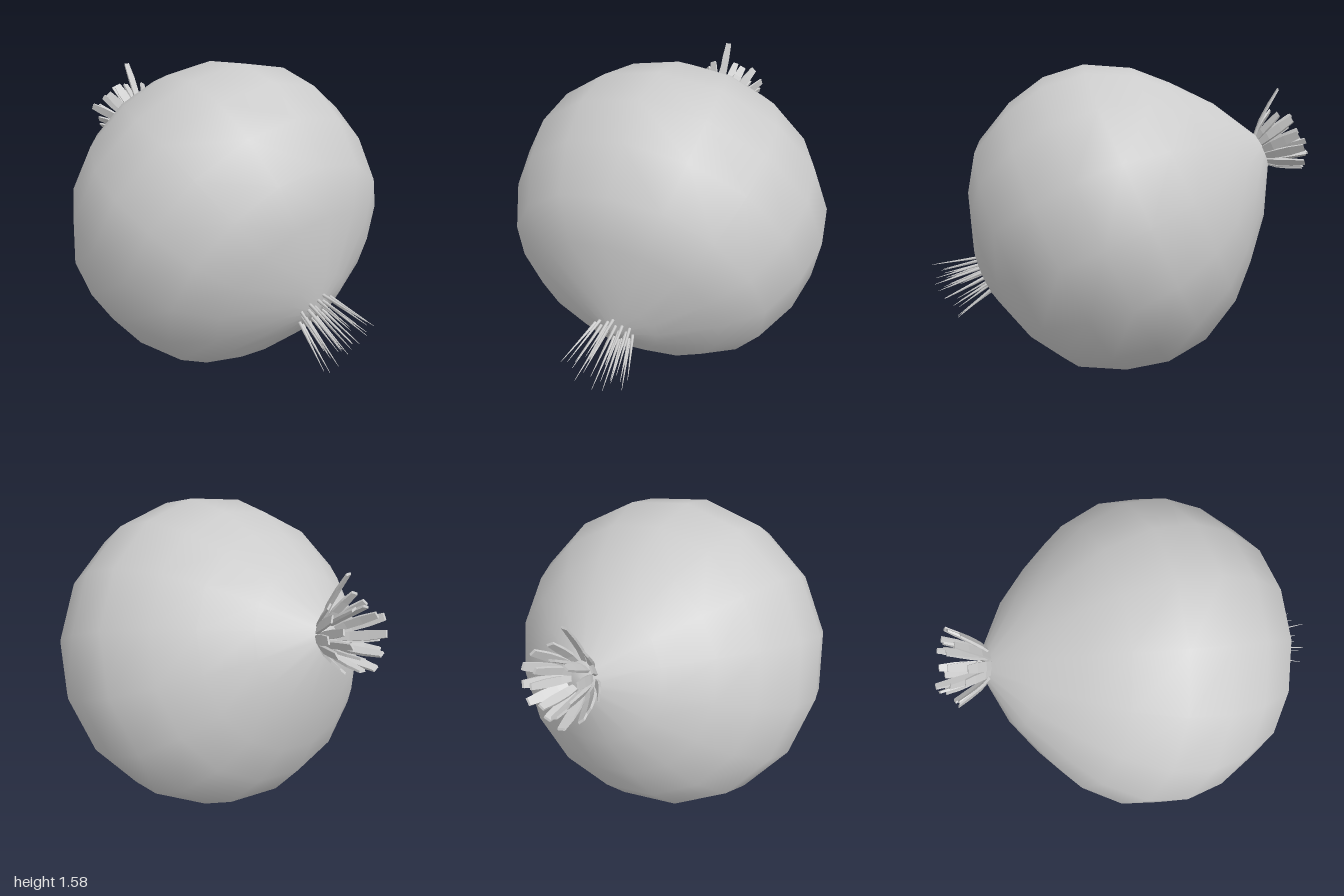
import * as THREE from 'three';

export function createModel() {
  const model = new THREE.Group();
  model.name = 'onion';
  const smooth = new THREE.MeshStandardMaterial({ color: 0xcccccc, side: THREE.DoubleSide });
  const flat = new THREE.MeshStandardMaterial({ color: 0xcccccc, flatShading: true });

  // small seeded generator for natural variation
  let seed = 7;
  const rand = (a, b) => {
    seed = (seed * 16807) % 2147483647;
    return a + (b - a) * seed / 2147483647;
  };

  // everything is built along local y, then laid over so the neck points back and up
  const onion = new THREE.Group();
  onion.name = 'tiltedOnion';
  onion.rotation.x = -Math.atan2(0.91, 0.415);
  onion.position.set(0, 0.78, 0.06);
  model.add(onion);

  // bulb: 16-sided smooth lathe, closed at the root and the neck
  const profile = [
    [0, -0.74], [0.2, -0.69], [0.472, -0.57], [0.651, -0.438], [0.76, -0.215], [0.805, 0],
    [0.777, 0.215], [0.66, 0.43], [0.51, 0.58], [0.32, 0.74], [0.08, 0.875], [0, 0.88],
  ].map(([r, y]) => new THREE.Vector2(r, y));
  const bulb = new THREE.Mesh(new THREE.LatheGeometry(profile, 16), smooth);
  bulb.name = 'bulb';
  onion.add(bulb);

  // dried leaf: thin strip that leans outward, widens, then narrows to a blunt tip
  function leaf(angle, r0, reach, height, width) {
    const geo = new THREE.BoxGeometry(1, 1, 1, 1, 3, 1);
    const p = geo.attributes.position;
    for (let i = 0; i < p.count; i++) {
      const s = p.getY(i) + 0.5;
      const w = width * (0.6 + 1.7 * s - 1.5 * s * s);
      const thick = 0.018 * (1 - 0.4 * s);
      p.setXYZ(i, p.getX(i) * w, 0.85 + height * s,
        r0 + reach * Math.pow(s, 0.8) + p.getZ(i) * thick);
    }
    geo.computeVertexNormals();
    const mesh = new THREE.Mesh(geo, flat);
    mesh.name = 'leaf';
    mesh.rotation.y = angle;
    return mesh;
  }
  const leaves = new THREE.Group();
  leaves.name = 'neckLeaves';
  const outer = 13, inner = 8;
  for (let i = 0; i < outer; i++) {
    const tall = i === 0;
    leaves.add(leaf(i / outer * Math.PI * 2 + (tall ? 0 : rand(-0.12, 0.12)), 0.06,
      tall ? 0.19 : rand(0.1, 0.14), tall ? 0.22 : rand(0.14, 0.22), rand(0.036, 0.046)));
  }
  for (let i = 0; i < inner; i++) {
    leaves.add(leaf((i + 0.5) / inner * Math.PI * 2 + rand(-0.15, 0.15), 0.045,
      rand(0.05, 0.085), rand(0.2, 0.27), rand(0.032, 0.042)));
  }
  onion.add(leaves);

  // root hairs: thin cones fanned from the base disc
  const roots = new THREE.Group();
  roots.name = 'rootHairs';
  const up = new THREE.Vector3(0, 1, 0);
  const count = 26;
  for (let i = 0; i < count; i++) {
    const a = i * 2.4;
    const r = 0.1 * Math.sqrt((i + 0.5) / count);
    const start = new THREE.Vector3(Math.sin(a) * r, -0.7, Math.cos(a) * r);
    const spread = rand(1.5, 1.85);
    const tip = new THREE.Vector3(start.x * spread, rand(-0.97, -0.91), start.z * spread);
    const dir = tip.clone().sub(start);
    const hair = new THREE.Mesh(new THREE.CylinderGeometry(0.001, 0.009, dir.length(), 6), smooth);
    hair.name = 'rootHair';
    hair.position.copy(start).lerp(tip, 0.5);
    hair.quaternion.setFromUnitVectors(up, dir.normalize());
    roots.add(hair);
  }
  onion.add(roots);

  return model;
}
